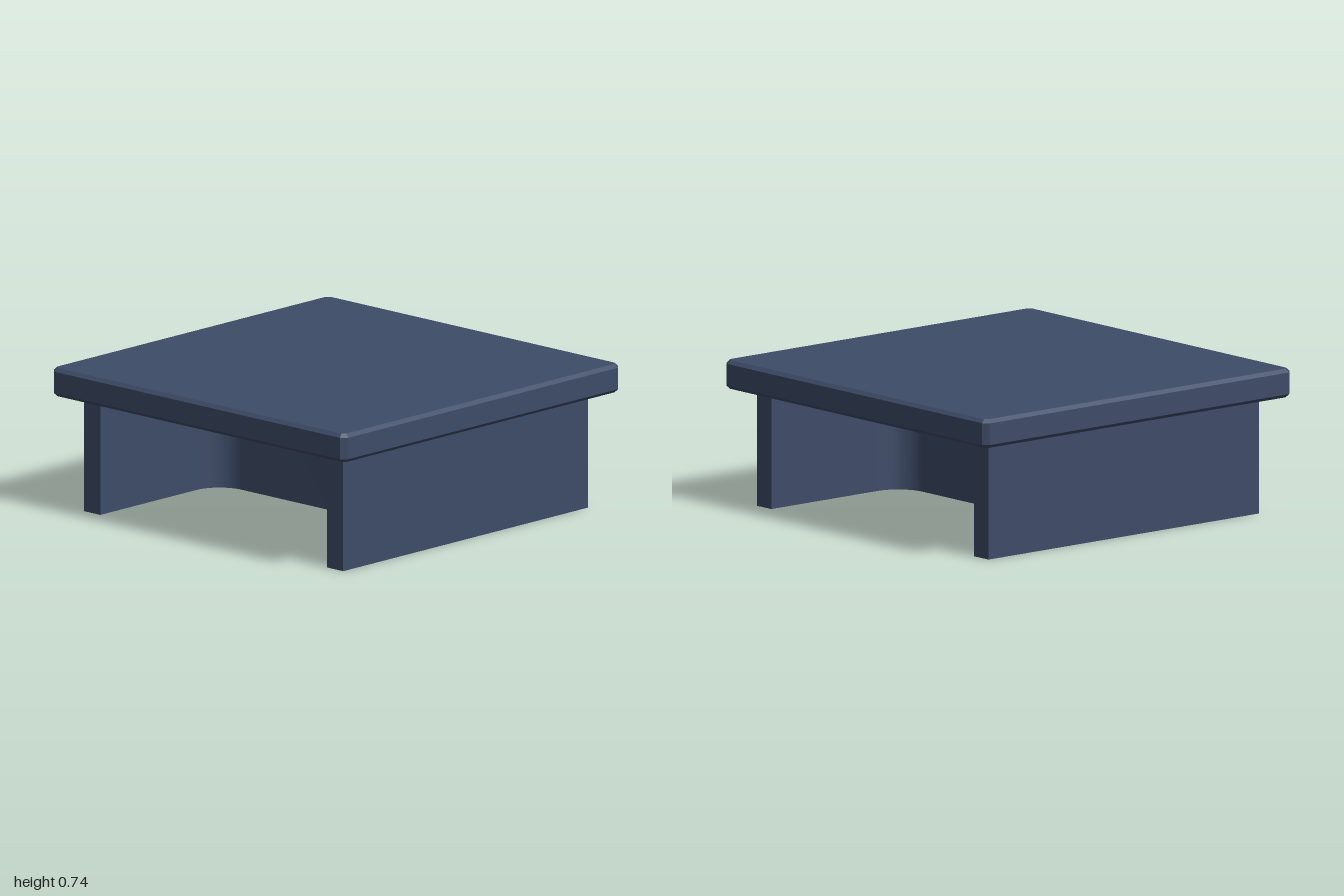
import * as THREE from 'three';
import { toCreasedNormals } from 'three/addons/utils/BufferGeometryUtils.js';

const steel = new THREE.MeshStandardMaterial({ color: 0x3e4c68 });
steel.name = 'blue painted steel';
const boltGrey = new THREE.MeshStandardMaterial({ color: 0x4b4a48 });
boltGrey.name = 'dark bolt grey';

const BEAM_H = 0.59;   // beam height, underside of the plate
const TOP = 0.735;

function addMesh(parent, name, geometry, material, x = 0, y = 0, z = 0) {
  const mesh = new THREE.Mesh(geometry, material);
  mesh.name = name;
  mesh.position.set(x, y, z);
  parent.add(mesh);
  return mesh;
}

// H section with rounded fillets between web and flanges
function beamGeometry() {
  const h = 0.88, f = 0.77, t = 0.032, r = 0.158;
  const s = new THREE.Shape();
  s.moveTo(-h, -h);
  s.lineTo(h, -h);
  s.lineTo(h, -f);
  s.lineTo(t + r, -f);
  s.absarc(t + r, -f + r, r, -Math.PI / 2, -Math.PI, true);
  s.lineTo(t, f - r);
  s.absarc(t + r, f - r, r, Math.PI, Math.PI / 2, true);
  s.lineTo(h, f);
  s.lineTo(h, h);
  s.lineTo(-h, h);
  s.lineTo(-h, f);
  s.lineTo(-t - r, f);
  s.absarc(-t - r, f - r, r, Math.PI / 2, 0, true);
  s.lineTo(-t, -f + r);
  s.absarc(-t - r, -f + r, r, 0, -Math.PI / 2, true);
  s.lineTo(-h, -f);
  s.closePath();
  const g = new THREE.ExtrudeGeometry(s, { depth: BEAM_H, bevelEnabled: false, curveSegments: 12 });
  g.rotateX(-Math.PI / 2);
  return toCreasedNormals(g, 0.5);
}

// Square plate with small chamfers on every edge
function plateGeometry() {
  const b = 0.018, e = 1 - b, c = e - b;
  const s = new THREE.Shape([
    [c, -e], [e, -c], [e, c], [c, e], [-c, e], [-e, c], [-e, -c], [-c, -e],
  ].map(([x, y]) => new THREE.Vector2(x, y)));
  const g = new THREE.ExtrudeGeometry(s, {
    depth: TOP - BEAM_H - 2 * b, bevelThickness: b, bevelSize: b, bevelSegments: 1,
  });
  g.rotateX(-Math.PI / 2);
  return toCreasedNormals(g, 0.3);
}

export function createModel() {
  const model = new THREE.Group();
  model.name = 'beamWithEndPlate';

  addMesh(model, 'beam', beamGeometry(), steel);
  addMesh(model, 'endPlate', plateGeometry(), steel, 0, BEAM_H + 0.018, 0);

  // Four bolts hanging below the plate, between the flanges
  const washer = new THREE.CylinderGeometry(0.105, 0.1, 0.018, 32);
  const head = toCreasedNormals(new THREE.CylinderGeometry(0.085, 0.085, 0.075, 6), 0.3);
  for (const x of [-0.59, 0.59]) {
    for (const z of [-0.59, 0.59]) {
      const bolt = new THREE.Group();
      bolt.name = 'bolt';
      bolt.position.set(x, BEAM_H, z);
      addMesh(bolt, 'washer', washer, boltGrey, 0, -0.009, 0);
      addMesh(bolt, 'hexHead', head, boltGrey, 0, -0.0545, 0);
      model.add(bolt);
    }
  }
  return model;
}
